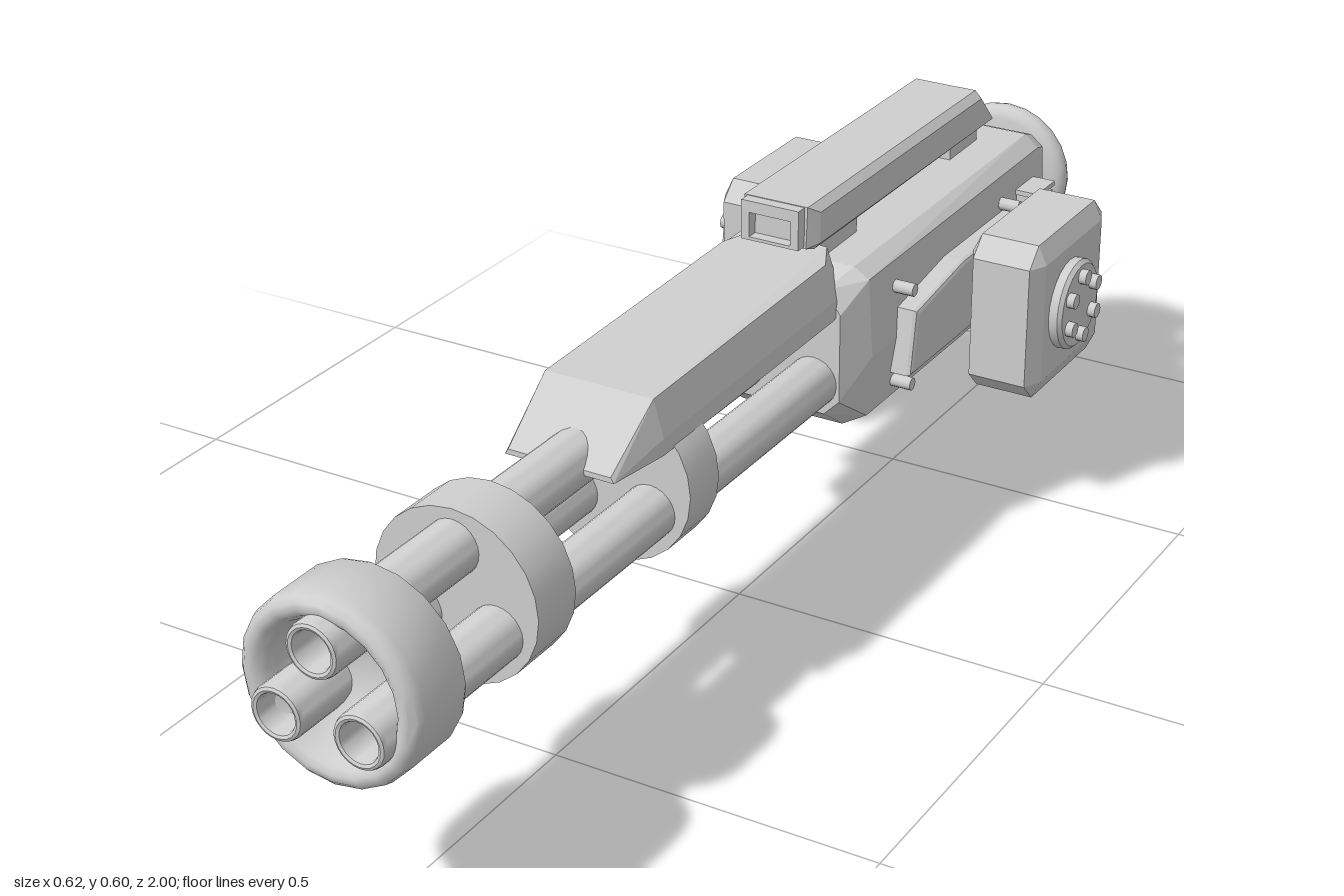
import * as THREE from 'three';
import { toCreasedNormals } from 'three/addons/utils/BufferGeometryUtils.js';
import { ConvexGeometry } from 'three/addons/geometries/ConvexGeometry.js';

const AXIS_Y = 0.36;   // height of the barrel axis

export function createModel() {
  const model = new THREE.Group();
  const grey = new THREE.MeshStandardMaterial({ color: 0xcecece });
  grey.name = 'light metal grey';

  const add = (name, geometry, x = 0, y = 0, z = 0, parent = model) => {
    const mesh = new THREE.Mesh(geometry, grey);
    mesh.name = name;
    mesh.position.set(x, y, z);
    parent.add(mesh);
    return mesh;
  };

  // Solid through mirrored sections: [z, [halfWidth, y], ...]
  const hull = sections => {
    const points = [];
    for (const [z, ...profile] of sections)
      for (const [x, y] of profile)
        for (const s of [-1, 1]) points.push(new THREE.Vector3(s * x, y, z));
    return new ConvexGeometry(points);
  };

  // Box with all edges cut by c = [cx, cy, cz]
  const chamferBox = (w, h, d, [cx, cy, cz]) => {
    const points = [];
    const a = w / 2, b = h / 2, e = d / 2;
    for (const i of [-1, 1]) for (const j of [-1, 1]) for (const k of [-1, 1])
      points.push(
        new THREE.Vector3(i * a, j * (b - cy), k * (e - cz)),
        new THREE.Vector3(i * (a - cx), j * b, k * (e - cz)),
        new THREE.Vector3(i * (a - cx), j * (b - cy), k * e));
    return new ConvexGeometry(points);
  };

  // Turned part along z from [radius, z] points, back to front
  const turned = (profile, sides = 24) => toCreasedNormals(
    new THREE.LatheGeometry(profile.map(p => new THREE.Vector2(...p)), sides).rotateX(Math.PI / 2), 0.7);

  // Three barrels with open bores and rounded lips
  const barrel = turned([[0, -0.15], [0.039, -0.15], [0.039, 0.992], [0.037, 0.998], [0.033, 1],
    [0.029, 0.998], [0.027, 0.992], [0.027, 0.9], [0, 0.9]]);
  for (let i = 0; i < 3; i++) {
    const a = Math.PI / 2 + i * Math.PI * 2 / 3;
    add('barrel', barrel, 0.071 * Math.cos(a), AXIS_Y + 0.071 * Math.sin(a), 0);
  }

  // Muzzle cup with a thick rolled rim, and barrel clamps
  add('muzzleRing', turned([[0, 0.875], [0.131, 0.875], [0.133, 0.88], [0.133, 0.96], [0.13, 0.972],
    [0.122, 0.979], [0.113, 0.98], [0.104, 0.975], [0.097, 0.965], [0.093, 0.95],
    [0.08, 0.922], [0.05, 0.9], [0, 0.89]], 20), 0, AXIS_Y);
  for (const [z0, z1] of [[0.625, 0.71], [0.27, 0.345]])
    add('barrelClamp', turned([[0, z0], [0.125, z0], [0.125, z1], [0, z1]]), 0, AXIS_Y);

  // Shroud over the barrels
  add('barrelShroud', hull([
    [0.47, [0.085, 0.43], [0.08, 0.438]],
    [0.37, [0.1, 0.43], [0.1, 0.455], [0.085, 0.51]],
    [-0.1, [0.1, 0.435], [0.1, 0.465], [0.085, 0.52]],
    [-0.15, [0.09, 0.44], [0.06, 0.524]],
  ]));

  // Receiver body
  add('body', hull([
    [-0.11, [0.08, 0.275], [0.105, 0.3], [0.105, 0.44], [0.08, 0.475]],
    [-0.16, [0.085, 0.238], [0.125, 0.262], [0.133, 0.36], [0.125, 0.482], [0.1, 0.498]],
    [-0.735, [0.085, 0.235], [0.125, 0.262], [0.133, 0.36], [0.125, 0.488], [0.103, 0.508]],
    [-0.775, [0.08, 0.242], [0.115, 0.265], [0.122, 0.36], [0.116, 0.475], [0.095, 0.492]],
    [-0.787, [0.07, 0.26], [0.105, 0.28], [0.11, 0.36], [0.105, 0.455], [0.085, 0.47]],
  ]));

  // Top rail, its hollow front sight and its two feet
  add('topRail', hull([
    [-0.105, [0.05, 0.535], [0.052, 0.6]],
    [-0.125, [0.052, 0.528], [0.063, 0.54], [0.063, 0.588], [0.052, 0.6]],
    [-0.65, [0.063, 0.588], [0.052, 0.6]],
    [-0.695, [0.052, 0.532], [0.063, 0.54]],
  ]));
  const frame = new THREE.Shape([[-0.047, 0.538], [0.047, 0.538], [0.047, 0.599], [-0.047, 0.599]]
    .map(p => new THREE.Vector2(...p)));
  frame.holes.push(new THREE.Path([[-0.034, 0.543], [-0.034, 0.581], [0.034, 0.581], [0.034, 0.543]]
    .map(p => new THREE.Vector2(...p))));
  add('railFrontFrame', new THREE.ExtrudeGeometry(frame, { depth: 0.025, bevelEnabled: false }), 0, 0, -0.112);
  add('railFoot', new THREE.BoxGeometry(0.09, 0.06, 0.135), 0, 0.511, -0.203);
  add('railFoot', new THREE.BoxGeometry(0.09, 0.06, 0.095), 0, 0.511, -0.628);

  // Side panel with a sloped front edge and softened rim
  const panelOutline = new THREE.Shape([[0.235, 0.312], [0.61, 0.312], [0.61, 0.422], [0.4, 0.422], [0.25, 0.4]]
    .map(p => new THREE.Vector2(...p)));
  const sidePanel = new THREE.ExtrudeGeometry(panelOutline,
    { depth: 0.03, bevelThickness: 0.007, bevelSize: 0.007, bevelSegments: 2 })
    .translate(0, 0, -0.015).rotateY(Math.PI / 2);

  // Fittings on each side
  const drumDisc = turned([[0, -0.005], [0.072, -0.005], [0.072, 0.014], [0.066, 0.02], [0, 0.02]]).rotateY(Math.PI / 2);
  const drumBolt = new THREE.CylinderGeometry(0.012, 0.012, 0.02, 10).rotateZ(Math.PI / 2);
  const sideBolt = new THREE.CylinderGeometry(0.01, 0.01, 0.05, 10).rotateZ(Math.PI / 2);
  const sideBox = chamferBox(0.122, 0.255, 0.265, [0.014, 0.03, 0.03]);
  for (const s of [-1, 1]) {
    const side = new THREE.Group();
    side.name = s > 0 ? 'leftSide' : 'rightSide';
    model.add(side);
    add('sidePanel', sidePanel, s * 0.141, 0, 0, side).rotation.y = 0;
    for (const y of [0.288, 0.442]) for (const z of [-0.24, -0.6])
      add('sideBolt', sideBolt, s * 0.135, y, z, side);
    add('sideBox', sideBox, s * 0.219, 0.333, -0.5425, side);
    const disc = add('sideDisc', drumDisc, s * 0.28, 0.335, -0.53, side);
    if (s < 0) disc.rotation.y = Math.PI;
    for (let i = 0; i < 6; i++) {
      const a = i * Math.PI / 3 + Math.PI / 6;
      add('discBolt', drumBolt, s * 0.302, 0.335 + 0.048 * Math.sin(a), -0.53 + 0.048 * Math.cos(a), side);
    }
    // Vent: back plate, top and bottom bars, slats
    add('ventPlate', new THREE.BoxGeometry(0.04, 0.08, 0.06), s * 0.13, 0.405, -0.685, side);
    for (const y of [0.368, 0.442])
      add('ventBar', new THREE.BoxGeometry(0.045, 0.008, 0.065), s * 0.143, y, -0.685, side);
    for (let i = 0; i < 5; i++)
      add('ventSlat', new THREE.BoxGeometry(0.045, 0.006, 0.06), s * 0.141, 0.381 + i * 0.012, -0.685, side);
  }

  // Rear bracket, rounded rear plate with bolts, and grip
  add('rearBracket', hull([
    [-0.67, [0.055, 0.24], [0.064, 0.24]],
    [-0.69, [0.05, 0.19], [0.064, 0.205], [0.064, 0.245]],
    [-0.82, [0.064, 0.28], [0.055, 0.288]],
    [-0.9, [0.05, 0.19], [0.064, 0.205], [0.064, 0.28], [0.055, 0.288]],
  ]));
  add('rearPlate', turned([[0, -0.905], [0.095, -0.905], [0.105, -0.902], [0.112, -0.895], [0.115, -0.885],
    [0.112, -0.875], [0.105, -0.868], [0.095, -0.865], [0, -0.865]]), 0, 0.375);
  const plateBolt = new THREE.CylinderGeometry(0.011, 0.011, 0.03, 10).rotateX(Math.PI / 2);
  for (let i = 0; i < 6; i++) {
    const a = i * Math.PI / 3;
    add('plateBolt', plateBolt, 0.078 * Math.cos(a), 0.375 + 0.078 * Math.sin(a), -0.904);
  }
  add('grip', chamferBox(0.102, 0.235, 0.117, [0.014, 0.018, 0.014]), 0, 0.1175, -0.9415);

  return model;
}
